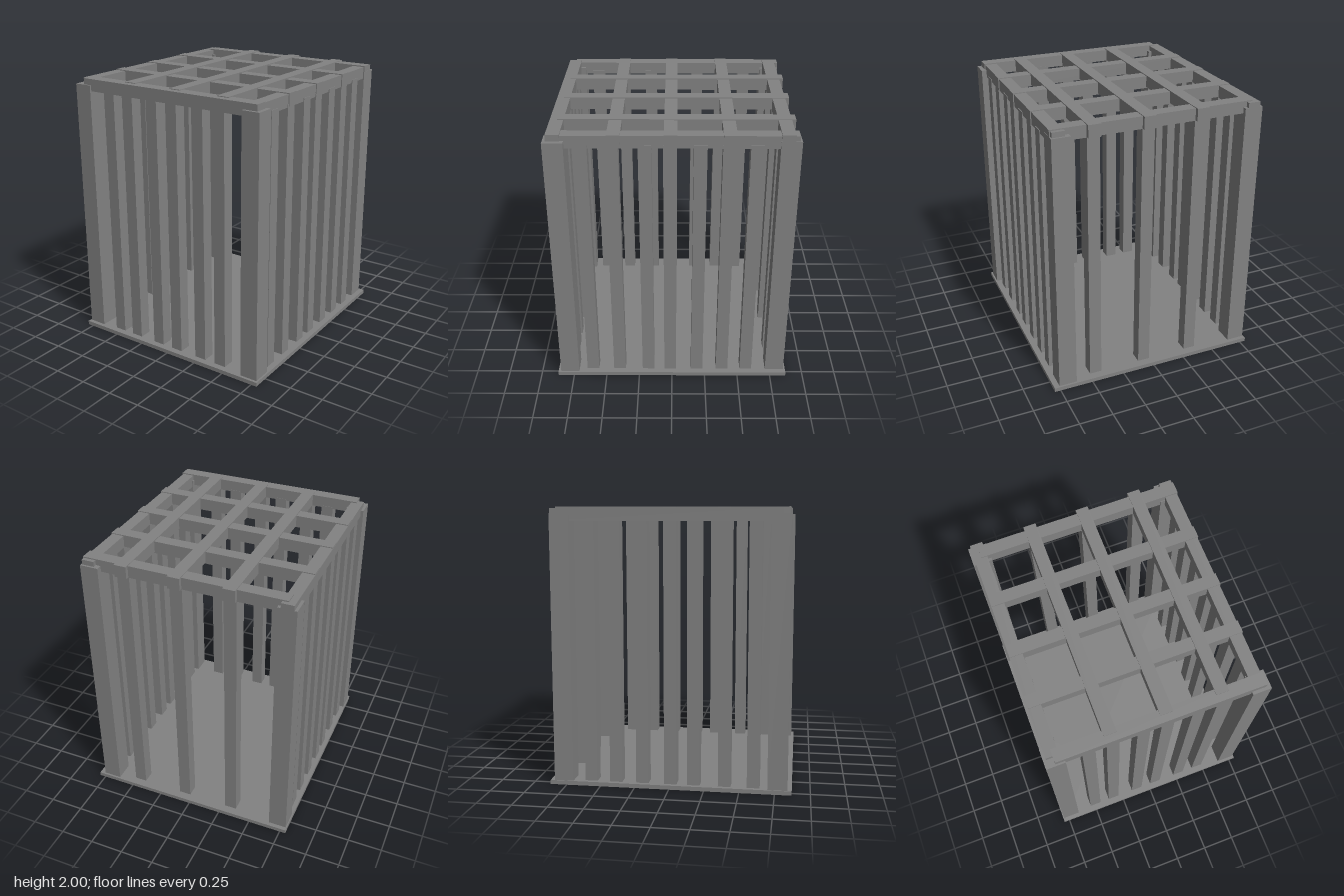
import * as THREE from 'three';

export function createModel() {
  const cage = new THREE.Group();
  cage.name = 'cage';
  const material = new THREE.MeshStandardMaterial({ color: 0x828282 });

  // Box given by its limits along x, y and z
  function beam(name, [x0, x1], [y0, y1], [z0, z1]) {
    const mesh = new THREE.Mesh(new THREE.BoxGeometry(x1 - x0, y1 - y0, z1 - z0), material);
    mesh.position.set((x0 + x1) / 2, (y0 + y1) / 2, (z0 + z1) / 2);
    mesh.name = name;
    cage.add(mesh);
  }
  const half = 0.045; // half the thickness of every bar
  const around = (c) => [c - half, c + half];
  const floorTop = 0.03;
  const barHeight = [floorTop, 1.92];

  // Floor slab
  beam('floor', [-0.795, 0.795], [0, floorTop], [-0.87, 0.87]);

  // Thick corner posts, slightly uneven like hand-set timber
  const posts = [[-0.72, 0.77], [0.715, 0.78], [-0.72, -0.77], [0.687, -0.785]];
  for (const [x, z] of posts) {
    beam('cornerPost', [x - 0.067, x + 0.067], [floorTop, 1.95], [z - 0.07, z + 0.07]);
  }

  // Top frame rails
  beam('frontRail', [-0.72, 0.752], [1.907, 1.995], [0.735, 0.828]);
  beam('backRail', [-0.72, 0.752], [1.907, 1.995], [-0.812, -0.72]);
  beam('rightRail', [0.655, 0.745], [1.897, 1.987], [-0.84, 0.78]);
  beam('leftRail', [-0.767, -0.677], [1.897, 1.987], [-0.84, 0.78]);

  // Roof lattice: long bars over cross bars
  for (const x of [-0.327, 0.063, 0.455]) {
    beam('roofBar', around(x), [1.91, 2], [-0.84, 0.778]);
  }
  for (const z of [-0.385, 0.008, 0.385]) {
    beam('roofCrossBar', [-0.765, 0.752], [1.902, 1.993], around(z));
  }

  // Front bars
  for (const x of [-0.492, -0.325, -0.11, 0.06, 0.278, 0.452]) {
    beam('frontBar', around(x), barHeight, around(0.778));
  }

  // Back bars, in line with the roof bars
  for (const x of [-0.325, 0.062, 0.453]) {
    beam('backBar', around(x), barHeight, around(-0.765));
  }

  // Side bars
  for (const z of [-0.565, -0.382, -0.19, 0.013, 0.18, 0.4, 0.605]) {
    beam('rightBar', around(0.705), barHeight, around(z));
    beam('leftBar', around(-0.718), barHeight, around(z - 0.006));
  }

  return cage;
}
